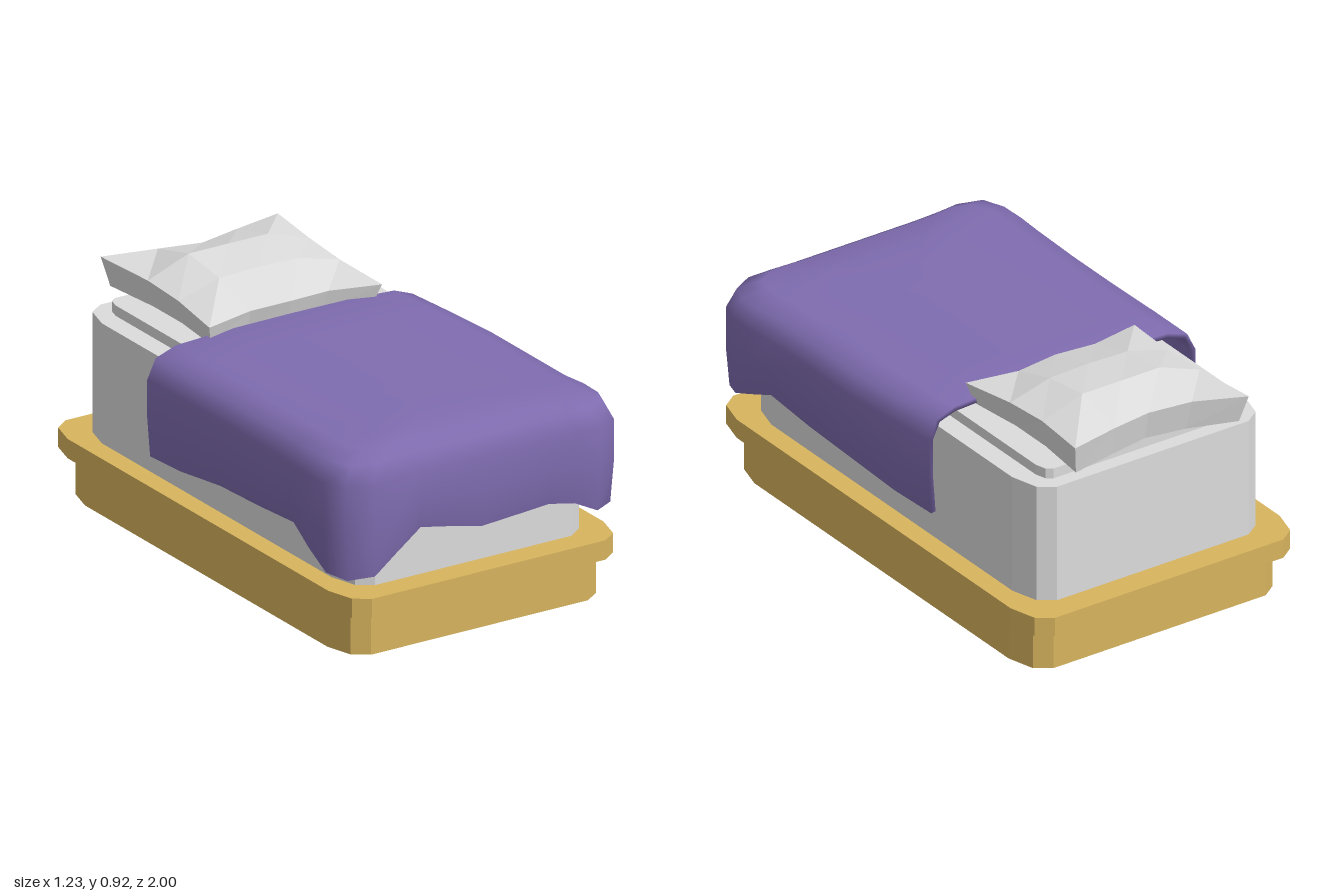
import * as THREE from 'three';
import { mergeVertices } from 'three/addons/utils/BufferGeometryUtils.js';

const wood = new THREE.MeshStandardMaterial({ color: 0xd8b45e });
wood.name = 'wood';
const linen = new THREE.MeshStandardMaterial({ color: 0xdcdcdc });
linen.name = 'white linen';
const purple = new THREE.MeshStandardMaterial({ color: 0x7f6cb0 });
purple.name = 'purple blanket';

// Rectangle outline with two-step cut corners; k scales the corner size
function outline(hx, hz, k = 1) {
  const corner = [[hx, hz - 0.15 * k], [hx - 0.03 * k, hz - 0.042 * k], [hx - 0.09 * k, hz]];
  const flip = (sx, sz) => corner.map(([x, z]) => new THREE.Vector2(x * sx, z * sz));
  return [...flip(1, 1), ...flip(-1, 1).reverse(), ...flip(-1, -1), ...flip(1, -1).reverse()];
}

// Upright slab from y0 to y1, with an optional hole
function slab(name, material, points, y0, y1, hole) {
  const shape = new THREE.Shape(points);
  if (hole) shape.holes.push(new THREE.Path(hole));
  const geo = new THREE.ExtrudeGeometry(shape, { depth: y1 - y0, bevelEnabled: false });
  geo.rotateX(-Math.PI / 2).translate(0, y0, 0);
  const mesh = new THREE.Mesh(geo, material);
  mesh.name = name;
  return mesh;
}

// Triangles of a grid of (n+1) x (m+1) points, stored column by column
function gridFaces(n, m) {
  const faces = [];
  for (let i = 0; i < n; i++) {
    for (let j = 0; j < m; j++) {
      const a = i * (m + 1) + j, c = a + m + 1;
      faces.push(a, a + 1, c, a + 1, c + 1, c);
    }
  }
  return faces;
}

// Closed body from an outer and an inner grid joined by a rim
function shell(n, m, outer, inner, closeLastRow) {
  const count = outer.length;
  const id = (i, j) => i * (m + 1) + j;
  const faces = gridFaces(n, m);
  const index = [...faces];
  for (let k = 0; k < faces.length; k += 3) {
    index.push(faces[k] + count, faces[k + 2] + count, faces[k + 1] + count);
  }
  const rim = (p, q) => index.push(p, q, q + count, p, q + count, p + count);
  for (let i = 0; i < n; i++) {
    rim(id(i, 0), id(i + 1, 0));
    if (closeLastRow) rim(id(i + 1, m), id(i, m));
  }
  for (let j = 0; j < m; j++) {
    rim(id(0, j + 1), id(0, j));
    rim(id(n, j), id(n, j + 1));
  }
  const geo = new THREE.BufferGeometry().setFromPoints([...outer, ...inner]);
  geo.setIndex(index);
  return geo;
}

// Soft blanket draped over both sides and the foot
function makeBlanket() {
  // Hem from the right side around the foot to the left side: x, z, hem height
  const hem = [
    [0.56, -0.3, 0.37], [0.58, -0.1, 0.38], [0.6, 0.15, 0.41], [0.6, 0.4, 0.42], [0.6, 0.64, 0.44],
    [0.615, 0.75, 0.4], [0.612, 0.85, 0.36], [0.585, 0.925, 0.35], [0.5, 0.97, 0.35],
    [0.4, 0.97, 0.4], [0.29, 0.965, 0.42], [0.15, 0.965, 0.41], [0, 0.965, 0.4],
    [-0.14, 0.965, 0.43], [-0.27, 0.965, 0.455], [-0.38, 0.97, 0.38], [-0.48, 0.98, 0.315],
    [-0.58, 0.95, 0.31], [-0.615, 0.86, 0.32], [-0.618, 0.75, 0.38], [-0.612, 0.64, 0.44],
    [-0.605, 0.4, 0.42], [-0.605, 0.15, 0.41], [-0.61, -0.1, 0.38], [-0.61, -0.3, 0.37],
  ];
  // Levels: pull toward the centre line, rise from hem to shoulder, extra height
  const levels = [[0.02, 0, 0], [0, 0.5, 0], [0, 1, 0], [0.06, 1, 0.075], [0.2, 1, 0.105], [0.55, 1, 0.115], [1, 1, 0.117]];
  const outer = [];
  for (const [x, z, y] of hem) {
    const spineZ = Math.min(z, 0.6);
    for (const [pull, rise, extra] of levels) {
      outer.push(new THREE.Vector3(
        x * (1 - pull),
        THREE.MathUtils.lerp(y, 0.67, rise) + extra,
        THREE.MathUtils.lerp(z, spineZ, pull)));
    }
  }
  const n = hem.length - 1, m = levels.length - 1;
  const sheet = new THREE.BufferGeometry().setFromPoints(outer);
  sheet.setIndex(gridFaces(n, m));
  sheet.computeVertexNormals();
  const normals = sheet.attributes.normal;
  const inner = outer.map((p, k) =>
    p.clone().addScaledVector(new THREE.Vector3().fromBufferAttribute(normals, k), -0.02));
  const geo = mergeVertices(shell(n, m, outer, inner, false), 1e-4);
  geo.computeVertexNormals();
  const mesh = new THREE.Mesh(geo, purple);
  mesh.name = 'blanket';
  return mesh;
}

// Faceted pillow with pulled-out corners
function makePillow() {
  const zs = [[-0.97, -0.9, -0.87, -0.9, -0.94], [-0.7, -0.7, -0.7, -0.7, -0.7],
    [-0.5, -0.5, -0.5, -0.5, -0.5], [-0.26, -0.3, -0.29, -0.305, -0.26]];
  const ys = [[0.86, 0.87, 0.865, 0.87, 0.87], [0.855, 0.92, 0.92, 0.92, 0.865],
    [0.845, 0.895, 0.9, 0.895, 0.85], [0.83, 0.835, 0.84, 0.835, 0.83]];
  const top = [];
  for (let i = 0; i < 5; i++) {
    for (let j = 0; j < 4; j++) {
      const edge = j === 0 || j === 3 ? 0.37 : 0.345;
      const x = [-edge, -0.17, 0, 0.17, edge][i];
      top.push(new THREE.Vector3(x, ys[j][i], zs[j][i]));
    }
  }
  const bottom = top.map((p) => new THREE.Vector3(p.x * 0.94, 0.752, -0.6 + (p.z + 0.6) * 0.92));
  const geo = shell(4, 3, top, bottom, true).toNonIndexed();
  geo.computeVertexNormals();
  const mesh = new THREE.Mesh(geo, linen);
  mesh.name = 'pillow';
  return mesh;
}

export function createModel() {
  const bed = new THREE.Group();
  bed.name = 'bed';
  // Hollow wooden plinth and the wider rail on it
  bed.add(slab('plinth', wood, outline(0.555, 0.94), 0, 0.17, outline(0.547, 0.932)));
  bed.add(slab('rail', wood, outline(0.59, 1), 0.17, 0.245, outline(0.505, 0.893)));
  // Mattress, open underneath, with a raised top layer
  bed.add(slab('mattressSides', linen, outline(0.51, 0.898), 0.175, 0.7, outline(0.502, 0.89)));
  bed.add(slab('mattressTop', linen, outline(0.51, 0.898), 0.7, 0.71));
  bed.add(slab('mattressPad', linen, outline(0.43, 0.84, 0.4), 0.71, 0.75));
  bed.add(makeBlanket(), makePillow());
  return bed;
}
